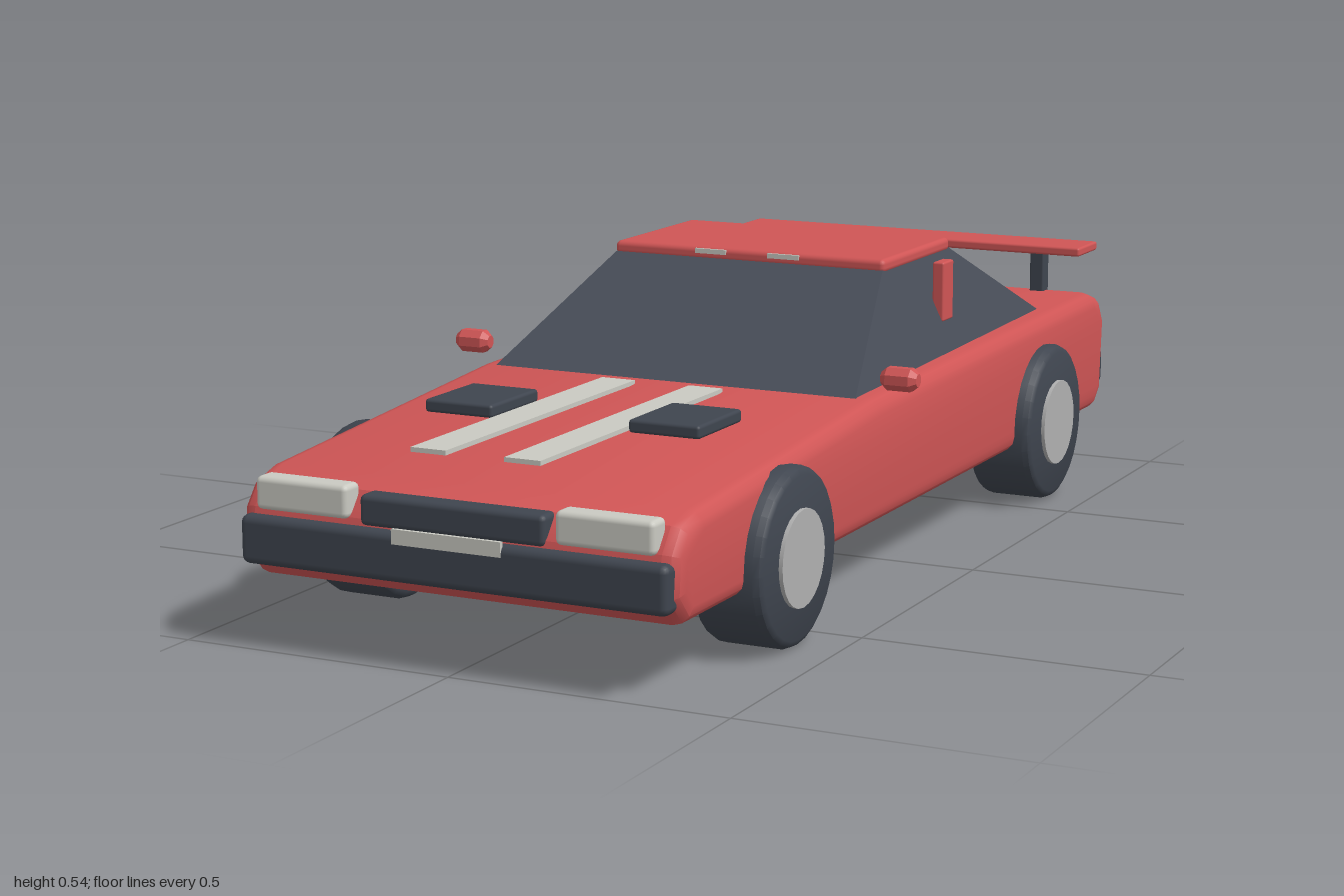
import * as THREE from 'three';
import { toCreasedNormals } from 'three/addons/utils/BufferGeometryUtils.js';
import { RoundedBoxGeometry } from 'three/addons/geometries/RoundedBoxGeometry.js';

const material = (name, color) => {
  const m = new THREE.MeshStandardMaterial({ color });
  m.name = name;
  return m;
};

export function createModel() {
  const car = new THREE.Group();
  car.name = 'sportsCar';
  const paint = material('red paint', 0xcf5555);
  const trim = material('dark trim', 0x3f454f);
  const glass = material('tinted glass', 0x474c57);
  const pale = material('pale stripe', 0xcacac2);
  const metal = material('wheel metal', 0xb0b0b0);
  const tailRed = material('tail light red', 0xb52a24);

  const add = (name, geometry, mat) => {
    const mesh = new THREE.Mesh(geometry, mat);
    mesh.name = name;
    car.add(mesh);
    return mesh;
  };
  // Box given by its x, y and z ranges; a radius rounds its edges
  const box = (name, mat, [x0, x1], [y0, y1], [z0, z1], r = 0) => {
    const size = [x1 - x0, y1 - y0, z1 - z0];
    const g = r ? new RoundedBoxGeometry(...size, 2, r) : new THREE.BoxGeometry(...size);
    g.translate((x0 + x1) / 2, (y0 + y1) / 2, (z0 + z1) / 2);
    return add(name, g, mat);
  };
  // The same box on both sides
  const pair = (name, mat, [x0, x1], y, z, r) => {
    box(name + 'Left', mat, [x0, x1], y, z, r);
    box(name + 'Right', mat, [-x1, -x0], y, z, r);
  };

  // Body: side profile (z, y) extruded across the width with rounded edges
  const profile = [[0.93, 0.147], [0.955, 0.175], [0.95, 0.225], [0.93, 0.25], [0.89, 0.262],
    [0.2, 0.312], [-0.91, 0.33], [-0.935, 0.322], [-0.955, 0.29], [-0.945, 0.165], [-0.925, 0.147]];
  const bevel = 0.03, depth = 0.745;
  const body = new THREE.ExtrudeGeometry(
    new THREE.Shape(profile.map(([z, y]) => new THREE.Vector2(z, y))),
    { depth, bevelSize: bevel, bevelThickness: bevel, bevelSegments: 3 });
  body.translate(0, 0, -depth / 2).rotateY(-Math.PI / 2);
  add('body', toCreasedNormals(body, 0.6), paint);

  // Cabin: box tapered towards the roof
  const cabin = new THREE.BoxGeometry(1, 1, 1);
  const p = cabin.attributes.position;
  for (let i = 0; i < p.count; i++) {
    const top = p.getY(i) > 0, front = p.getZ(i) > 0;
    p.setXYZ(i, Math.sign(p.getX(i)) * (top ? 0.275 : 0.363), top ? 0.515 : 0.335,
      front ? (top ? -0.1 : 0.225) : (top ? -0.42 : -0.745));
  }
  cabin.computeVertexNormals();
  add('cabinGlass', cabin, glass);
  box('roof', paint, [-0.278, 0.278], [0.509, 0.535], [-0.42, -0.1], 0.01);
  pair('doorPillar', paint, [0.31, 0.333], [0.4, 0.512], [-0.305, -0.255], 0.004);

  // Racing stripes
  pair('hoodStripe', pale, [0.054, 0.12], [0.337, 0.345], [0.25, 0.905]);
  pair('roofStripe', pale, [0.043, 0.107], [0.523, 0.532], [-0.423, -0.097]);
  pair('trunkStripe', pale, [0.05, 0.118], [0.355, 0.364], [-0.855, -0.735]);

  // Hood vents
  pair('hoodVent', trim, [0.13, 0.262], [0.338, 0.361], [0.465, 0.627], 0.006);

  // Nose
  pair('headlight', pale, [0.19, 0.365], [0.234, 0.29], [0.945, 0.99], 0.01);
  box('grille', trim, [-0.17, 0.17], [0.226, 0.278], [0.94, 0.985], 0.01);
  box('frontBumper', trim, [-0.392, 0.392], [0.142, 0.225], [0.955, 1], 0.014);
  box('frontPlate', pale, [-0.1, 0.1], [0.207, 0.232], [0.994, 1.001]);

  // Tail
  pair('tailLight', tailRed, [0.21, 0.365], [0.268, 0.318], [-0.992, -0.96], 0.008);
  box('rearBumper', trim, [-0.392, 0.392], [0.16, 0.235], [-1, -0.955], 0.014);
  box('rearPlate', pale, [-0.1, 0.1], [0.212, 0.248], [-1.002, -0.995]);

  // Rear wing
  box('wing', paint, [-0.385, 0.385], [0.442, 0.46], [-0.967, -0.857], 0.005);
  pair('wingStrut', trim, [0.265, 0.295], [0.34, 0.446], [-0.927, -0.895], 0.004);

  // Side mirrors: faceted pods
  for (const [side, s] of [['Left', 1], ['Right', -1]]) {
    const pod = new THREE.LatheGeometry([[0, -0.034], [0.012, -0.034], [0.022, -0.022],
      [0.022, 0.022], [0.012, 0.034], [0, 0.034]].map(([r, h]) => new THREE.Vector2(r, h)), 8);
    pod.rotateY(Math.PI / 8).rotateZ(Math.PI / 2);
    add('mirror' + side, toCreasedNormals(pod, 0.4), paint).position.set(s * 0.428, 0.375, 0.175);
  }

  // Wheels: bevelled tyre with a metal hub
  const tyreShape = [[0, -0.065], [0.138, -0.065], [0.147, -0.06], [0.152, -0.05],
    [0.152, 0.05], [0.147, 0.06], [0.138, 0.065], [0, 0.065]].map(([r, h]) => new THREE.Vector2(r, h));
  const tyre = toCreasedNormals(new THREE.LatheGeometry(tyreShape, 28).rotateZ(Math.PI / 2), 0.6);
  const hub = new THREE.CylinderGeometry(0.083, 0.083, 0.142, 24).rotateZ(Math.PI / 2);
  for (const [end, z] of [['front', 0.6], ['rear', -0.61]]) {
    for (const [side, s] of [['Left', 1], ['Right', -1]]) {
      add(end + 'Tyre' + side, tyre, trim).position.set(s * 0.367, 0.152, z);
      add(end + 'Hub' + side, hub, metal).position.set(s * 0.368, 0.152, z);
    }
  }
  return car;
}
